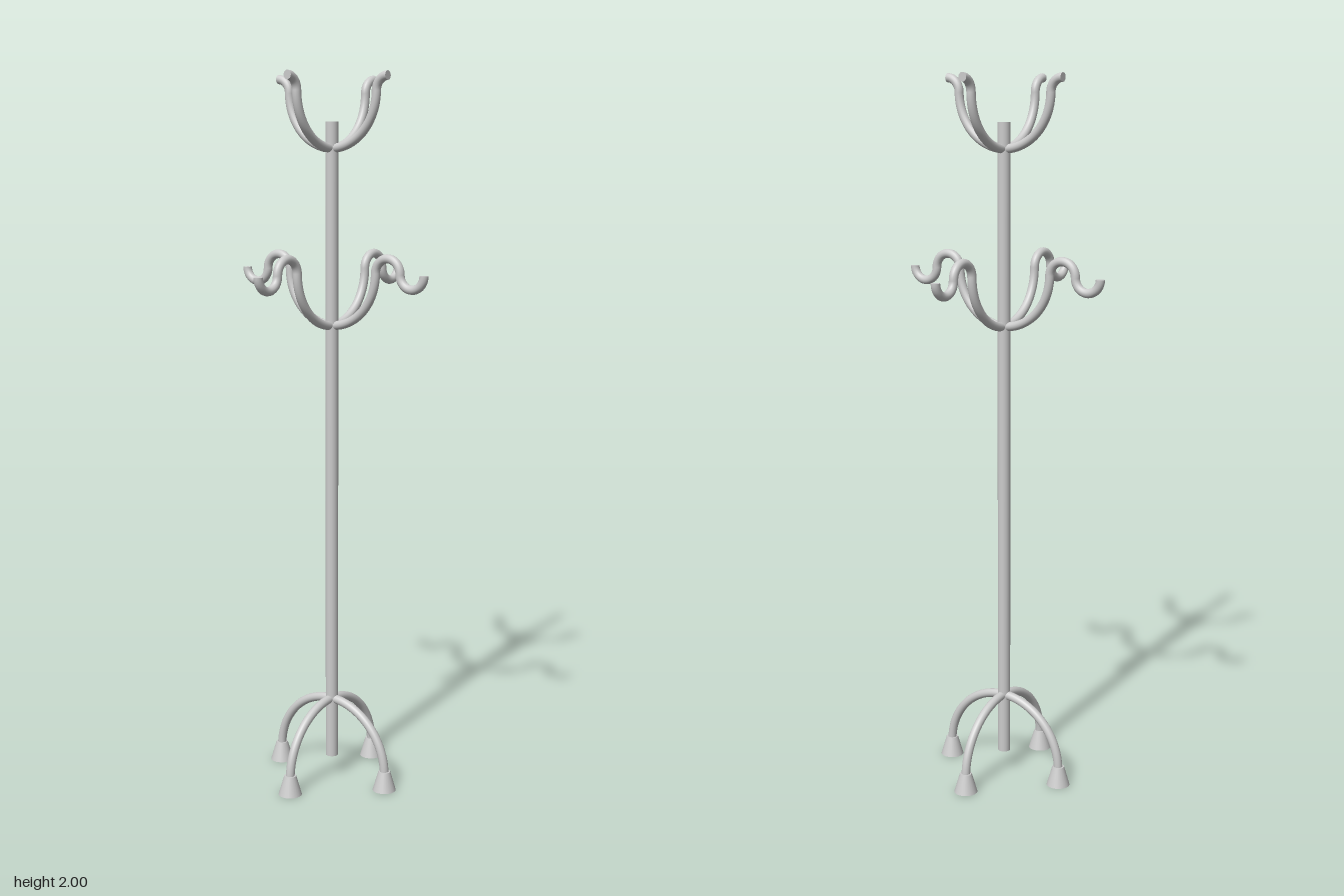
import * as THREE from 'three';

const TUBE = 0.0125;
const grey = new THREE.MeshStandardMaterial({ color: 0xcccccc });

// Curve in the XY plane made of circular arcs: [cx, cy, radius, startDeg, endDeg]
class ArcPath extends THREE.Curve {
  constructor(arcs) {
    super();
    this.arcs = arcs.map(([cx, cy, r, a, b]) => ({
      cx, cy, r, a: THREE.MathUtils.degToRad(a), b: THREE.MathUtils.degToRad(b),
    }));
    this.total = this.arcs.reduce((s, k) => s + k.r * Math.abs(k.b - k.a), 0);
  }
  getPoint(t, target = new THREE.Vector3()) {
    let d = t * this.total;
    for (const [i, k] of this.arcs.entries()) {
      const len = k.r * Math.abs(k.b - k.a);
      if (d <= len || i === this.arcs.length - 1) {
        const ang = k.a + (k.b - k.a) * Math.min(d / len, 1);
        return target.set(k.cx + k.r * Math.cos(ang), k.cy + k.r * Math.sin(ang), 0);
      }
      d -= len;
    }
    return target;
  }
}

function mesh(name, geometry) {
  const m = new THREE.Mesh(geometry, grey);
  m.name = name;
  return m;
}

// Bent tube with a flat cap on its free end
function bentTube(name, arcs, segments) {
  const path = new ArcPath(arcs);
  const group = new THREE.Group();
  group.name = name;
  group.add(mesh(name + 'Tube', new THREE.TubeGeometry(path, segments, TUBE, 16, false)));
  const cap = mesh(name + 'Cap', new THREE.CircleGeometry(TUBE, 16));
  const end = path.getPoint(1);
  cap.position.copy(end);
  cap.lookAt(end.clone().add(path.getTangent(1)));
  group.add(cap);
  return group;
}

export function createModel() {
  const model = new THREE.Group();
  model.name = 'coatStand';

  // Central pole, ending just above the floor
  const pole = mesh('pole', new THREE.CylinderGeometry(0.018, 0.018, 1.81, 24));
  pole.position.y = 0.06 + 1.81 / 2;
  model.add(pole);

  // Four identical sides, each with a leg, a middle hook and a top hook
  for (let i = 0; i < 4; i++) {
    const side = new THREE.Group();
    side.name = 'side' + (i + 1);
    side.rotation.y = (i * Math.PI) / 2;

    side.add(bentTube('leg', [[0, 0.042, 0.19, 90, 0]], 32));

    // Flared foot
    const foot = mesh('foot', new THREE.CylinderGeometry(0.017, 0.033, 0.055, 24));
    foot.position.set(0.19, 0.0275, 0);
    side.add(foot);

    // S-shaped hook: up, over and back up
    side.add(bentTube('middleHook', [
      [0, 1.465, 0.15, -90, 0],
      [0.191, 1.465, 0.041, 180, 0],
      [0.271, 1.465, 0.039, 180, 360],
    ], 72));

    // Upper hook: up, then flaring outwards
    side.add(bentTube('topHook', [
      [0, 1.949, 0.15, -90, 0],
      [0.188, 1.949, 0.038, 180, 90],
    ], 44));

    model.add(side);
  }
  return model;
}
